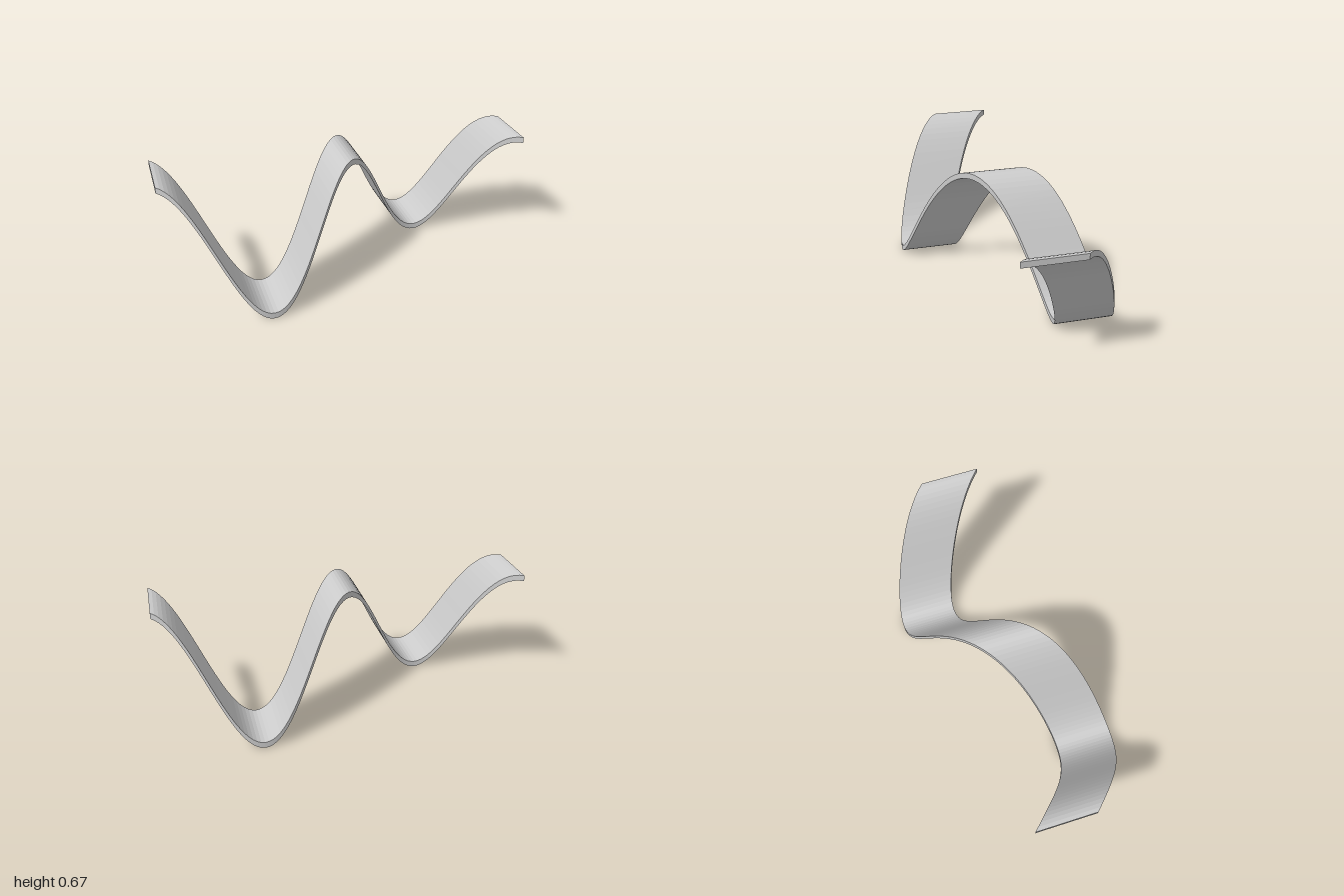
import * as THREE from 'three';

const SEGMENTS = 100;
const WAVE = 1 / Math.PI;        // height and sideways amplitude
const HALF_WIDTH = WAVE / 2;
const THICKNESS = 0.032;

// Four corners of the strip's cross-section at x, counter-clockwise seen from +x
function section(x) {
  const bottom = WAVE * (1 + Math.cos(2 * Math.PI * x));
  const top = bottom + THICKNESS;
  const mid = -WAVE * Math.sin(Math.PI * x);
  const back = mid - HALF_WIDTH, front = mid + HALF_WIDTH;
  return [[x, bottom, back], [x, top, back], [x, top, front], [x, bottom, front]];
}

function ribbonGeometry() {
  const positions = [];
  const quad = (a, b, c, d) => positions.push(...a, ...b, ...c, ...a, ...c, ...d);

  const rings = [];
  for (let i = 0; i <= SEGMENTS; i++) rings.push(section(-1 + (2 * i) / SEGMENTS));

  // Top, underside and both long edges
  for (let i = 0; i < SEGMENTS; i++) {
    const p = rings[i], q = rings[i + 1];
    for (let j = 0; j < 4; j++) {
      const k = (j + 1) % 4;
      quad(p[j], p[k], q[k], q[j]);
    }
  }

  // End caps
  const [a, b, c, d] = rings[0];
  quad(d, c, b, a);
  quad(...rings[SEGMENTS]);

  const geometry = new THREE.BufferGeometry();
  geometry.setAttribute('position', new THREE.Float32BufferAttribute(positions, 3));
  geometry.computeVertexNormals();
  return geometry;
}

export function createModel() {
  const group = new THREE.Group();
  group.name = 'wavyRibbon';
  const material = new THREE.MeshStandardMaterial({ color: 0xcccccc, flatShading: true });
  const ribbon = new THREE.Mesh(ribbonGeometry(), material);
  ribbon.name = 'ribbon';
  group.add(ribbon);
  return group;
}
